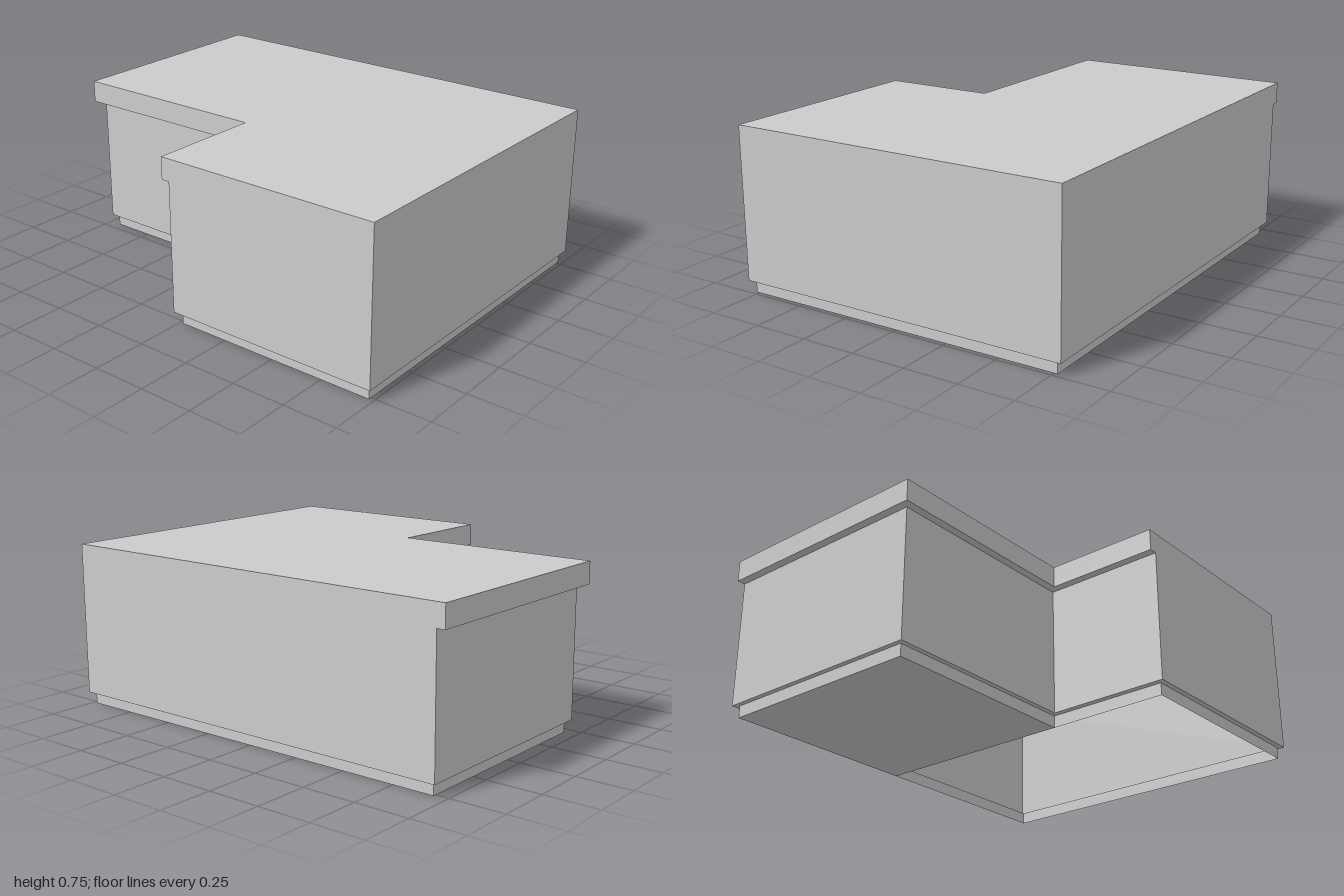
import * as THREE from 'three';

// L-shaped outline in (x, z), anticlockwise from above:
// side = right edge, left edge, front; back, wingSide and notch set the stepped rear
function outline(left, right, front, back, wingSide, notch) {
  return [[left, front], [right, front], [right, back], [wingSide, back], [wingSide, notch], [left, notch]];
}

// Sheet of flat quads joining two matching outlines at two heights
function band(ringA, yA, ringB, yB) {
  const positions = [];
  const n = ringA.length;
  for (let i = 0; i < n; i++) {
    const j = (i + 1) % n;
    const a = [ringA[i][0], yA, ringA[i][1]], b = [ringA[j][0], yA, ringA[j][1]];
    const c = [ringB[j][0], yB, ringB[j][1]], d = [ringB[i][0], yB, ringB[i][1]];
    positions.push(...a, ...b, ...c, ...a, ...c, ...d);
  }
  const geometry = new THREE.BufferGeometry();
  geometry.setAttribute('position', new THREE.Float32BufferAttribute(positions, 3));
  geometry.computeVertexNormals();
  return geometry;
}

export function createModel() {
  const model = new THREE.Group();
  model.name = 'lShapedBuilding';
  const material = new THREE.MeshStandardMaterial({ color: 0xcccccc, side: THREE.DoubleSide });
  const add = (name, geometry) => {
    const mesh = new THREE.Mesh(geometry, material);
    mesh.name = name;
    model.add(mesh);
    return mesh;
  };

  const plinth = outline(-0.765, 0.765, 0.98, -0.94, -0.205, 0.015);
  const wall = outline(-0.79, 0.79, 1, -0.962, -0.228, -0.012);
  const cap = outline(-0.79, 0.79, 1, -1, -0.265, -0.05);
  const wallBase = 0.055, capBase = 0.65, roofY = 0.75;

  // Recessed plinth and the ledge above it
  add('plinth', band(plinth, 0, plinth, wallBase));
  add('plinthLedge', band(plinth, wallBase, wall, wallBase));

  // Main walls
  add('walls', band(wall, wallBase, wall, capBase));

  // Roof edge overhanging the rear sides
  add('roofSoffit', band(wall, capBase, cap, capBase));
  add('roofFascia', band(cap, capBase, cap, roofY));

  // Flat roof
  const roofShape = new THREE.Shape(cap.map(([x, z]) => new THREE.Vector2(x, -z)));
  add('roof', new THREE.ShapeGeometry(roofShape).rotateX(-Math.PI / 2).translate(0, roofY, 0));

  // Floor under the rear wing only; the front block is open below
  const [, , [right, back], , [wingSide, notch]] = plinth;
  const floor = add('wingFloor', new THREE.PlaneGeometry(right - wingSide, notch - back).rotateX(Math.PI / 2));
  floor.position.set((right + wingSide) / 2, 0, (notch + back) / 2);

  return model;
}
